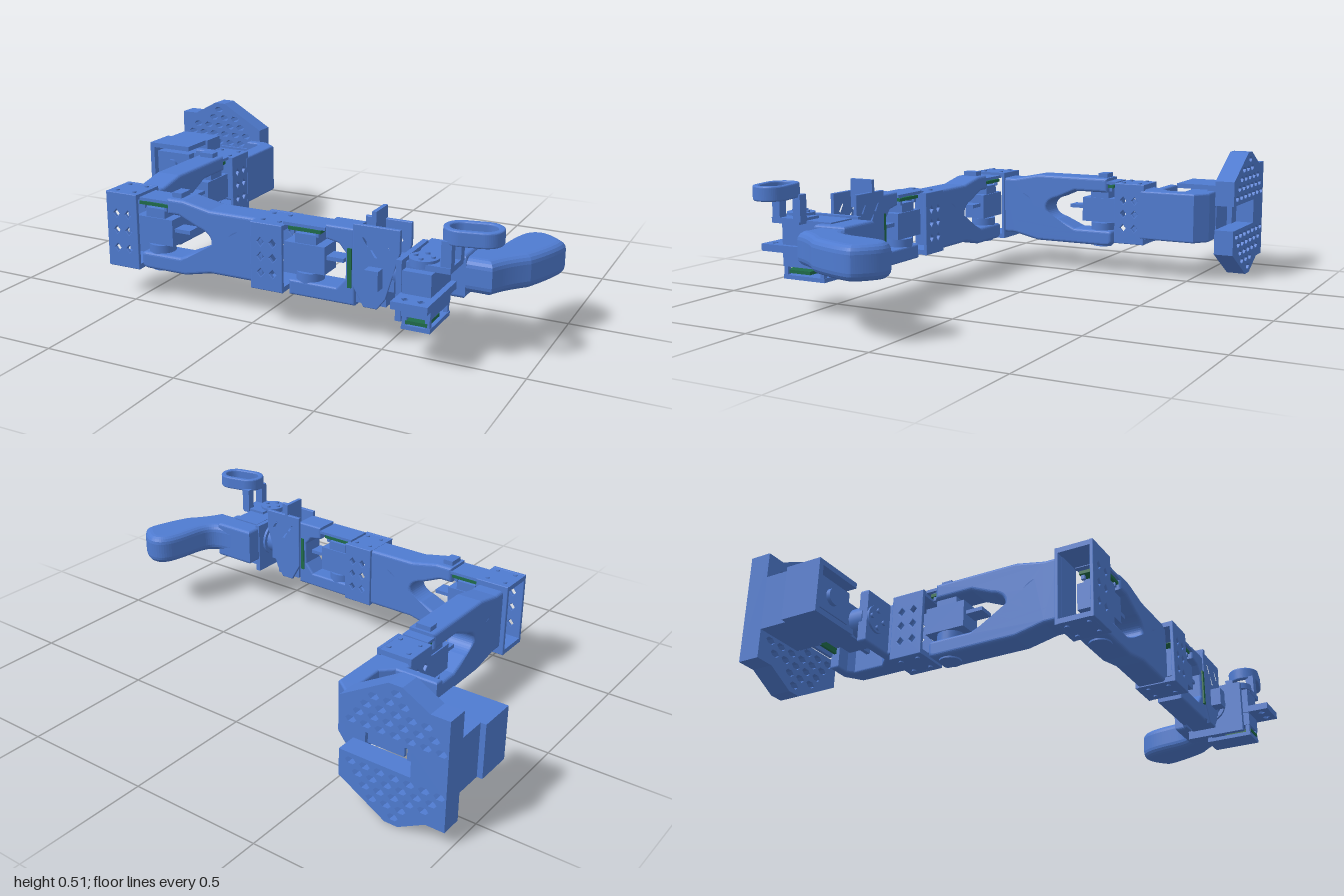
import * as THREE from 'three';

const blue = new THREE.MeshStandardMaterial({ color: 0x4f7bd0 });
const green = new THREE.MeshStandardMaterial({ color: 0x1f6b4a });

function add(parent, name, geo, mat = blue) {
  const m = new THREE.Mesh(geo, mat);
  m.name = name;
  parent.add(m);
  return m;
}

// Box given by its limits on each axis
function box(parent, name, x0, x1, y0, y1, z0, z1, mat) {
  const m = add(parent, name, new THREE.BoxGeometry(x1 - x0, y1 - y0, z1 - z0), mat);
  m.position.set((x0 + x1) / 2, (y0 + y1) / 2, (z0 + z1) / 2);
  return m;
}

// Cylinder centred at x, y, z along the given axis
function cyl(parent, name, r, len, x, y, z, axis = 'y', mat) {
  const g = new THREE.CylinderGeometry(r, r, len, 24);
  if (axis === 'x') g.rotateZ(Math.PI / 2);
  if (axis === 'z') g.rotateX(Math.PI / 2);
  add(parent, name, g, mat).position.set(x, y, z);
}

const outline = pts => new THREE.Shape(pts.map(p => new THREE.Vector2(...p)));

function polyHole(x, y, rx, ry, n = 4) {
  const pts = [];
  for (let i = 0; i < n; i++) {
    const a = (i / n) * Math.PI * 2;
    pts.push(new THREE.Vector2(x + rx * Math.cos(a), y + ry * Math.sin(a)));
  }
  return new THREE.Path(pts);
}

// Extrusion from z0 to z1 that keeps its outline when edges are rounded
function slab(shape, z0, z1, b = 0) {
  const g = new THREE.ExtrudeGeometry(shape, {
    depth: z1 - z0 - 2 * b, bevelEnabled: b > 0, bevelThickness: b,
    bevelSize: b, bevelOffset: -b, bevelSegments: 4, curveSegments: 16,
  });
  return g.translate(0, 0, z0 + b);
}

// Slab lying flat: shape y becomes z, from height y0 to y1
const flatSlab = (shape, y0, y1, b) => slab(shape, -y1, -y0, b).rotateX(Math.PI / 2);

// Servo with horn, circuit board and cover; starts at x = 0, axis vertical
function servo(parent) {
  const g = new THREE.Group();
  g.name = 'servo';
  parent.add(g);
  box(g, 'servoBody', -0.02, 0.135, 0.215, 0.315, -0.045, 0.045);
  box(g, 'servoFlange', -0.02, 0.2, 0.266, 0.28, -0.03, 0.03);
  box(g, 'servoBack', 0.02, 0.1, 0.315, 0.35, -0.04, 0.04);
  box(g, 'circuitBoard', -0.005, 0.12, 0.36, 0.372, -0.045, 0.045, green);
  for (const z of [-0.035, 0.035]) for (const x of [0.01, 0.105])
    box(g, 'boardPost', x - 0.006, x + 0.006, 0.345, 0.38, z - 0.006, z + 0.006);
  box(g, 'servoCover', -0.02, 0.14, 0.377, 0.388, -0.052, 0.052);
  cyl(g, 'servoHorn', 0.05, 0.04, 0.06, 0.19, 0);
  cyl(g, 'servoShaft', 0.035, 0.05, 0.06, 0.155, 0);
}

// Open box that holds a servo, side plates pierced by six holes
function holder(parent, x0, x1, y0, y1, t) {
  const g = new THREE.Group();
  g.name = 'servoHolder';
  parent.add(g);
  const s = outline([[x0, y0], [x1, y0], [x1, y1], [x0, y1]]);
  for (const fx of [0.32, 0.7]) for (const fy of [0.26, 0.5, 0.72])
    s.holes.push(polyHole(x0 + (x1 - x0) * fx, y0 + (y1 - y0) * fy, 0.013, 0.015));
  add(g, 'holderSide', slab(s, t - 0.014, t, 0.003));
  add(g, 'holderSide', slab(s, -t, -t + 0.014, 0.003));
  box(g, 'holderTop', x0, x1, y1 - 0.02, y1 - 0.001, -t + 0.004, t - 0.004);
  box(g, 'holderBottom', x0, x1, y0 + 0.001, y0 + 0.02, -t + 0.004, t - 0.004);
  for (const x of [x0 + 0.03, x1 - 0.03]) for (const z of [-0.04, 0.04]) {
    cyl(g, 'screw', 0.008, 0.008, x, y1, z);
    cyl(g, 'screw', 0.008, 0.008, x, y0, z);
  }
}

// Forked link running along +x, with a mouth round the servo and a rounded window
function link(parent, topStart, flat) {
  const s = new THREE.Shape();
  s.moveTo(topStart, 0.4);
  s.lineTo(flat, 0.4);
  s.lineTo(flat + 0.11, 0.378);
  s.lineTo(0.52, 0.378);
  s.lineTo(0.52, 0.14);
  s.lineTo(flat + 0.11, 0.14);
  s.lineTo(flat, 0.116);
  s.lineTo(0.03, 0.116);
  s.quadraticCurveTo(0, 0.116, 0, 0.14);
  s.lineTo(0, 0.165);
  s.quadraticCurveTo(0, 0.18, 0.02, 0.18);
  s.lineTo(0.17, 0.18);
  s.lineTo(0.25, 0.215);
  s.bezierCurveTo(0.32, 0.23, 0.32, 0.29, 0.25, 0.305);
  s.lineTo(0.17, 0.34);
  s.lineTo(topStart, 0.34);
  const w = new THREE.Path();
  w.moveTo(0.5, 0.305);
  w.lineTo(0.42, 0.305);
  w.bezierCurveTo(0.365, 0.295, 0.365, 0.22, 0.42, 0.21);
  w.lineTo(0.5, 0.21);
  s.holes.push(w);
  add(parent, 'forkedLink', slab(s, -0.055, 0.055, 0.012));
  cyl(parent, 'pivotCap', 0.04, 0.012, 0.06, 0.116, 0);
  box(parent, 'cableClip', topStart + 0.01, topStart + 0.05, 0.395, 0.418, -0.03, 0.03);
}

function createModel() {
  const model = new THREE.Group();

  // Base plate: two perforated wings joined on one side
  const wing = [[-0.58, 0.305], [-0.58, 0.405], [-0.76, 0.51], [-0.81, 0.51],
    [-0.91, 0.455], [-0.98, 0.455]];
  const plate = outline([[-0.85, 0.305], ...wing,
    ...wing.map(([x, y]) => [x, 0.51 - y]).reverse(), [-0.85, 0.205]]);
  for (let r = 0; r < 5; r++) for (let c = 0; c < 8; c++) for (const side of [1, -1]) {
    const x = -0.955 + c * 0.055 + (r % 2) * 0.0275, d = 0.078 + r * 0.037;
    if (x < -0.61 && d < 0.237 - 0.55 * Math.abs(x + 0.785))
      plate.holes.push(polyHole(x, 0.255 + side * d, 0.021, 0.013, 6));
  }
  add(model, 'basePlate', slab(plate, -0.664, -0.585));

  // Base housing: walls round the first servo
  box(model, 'baseBack', -0.98, -0.79, 0.16, 0.36, -0.59, -0.48);
  box(model, 'baseFloor', -0.98, -0.8, 0.16, 0.18, -0.48, -0.34);
  box(model, 'baseRoof', -0.98, -0.8, 0.34, 0.36, -0.48, -0.34);
  box(model, 'baseWall', -1.0, -0.98, 0.16, 0.36, -0.48, -0.34);
  box(model, 'baseInner', -0.975, -0.81, 0.2, 0.32, -0.48, -0.36);
  cyl(model, 'cablePort', 0.03, 0.02, -0.9, 0.26, -0.355, 'z');
  const baseServo = new THREE.Group();
  baseServo.name = 'baseServo';
  model.add(baseServo);
  box(baseServo, 'servoBody', -0.82, -0.63, 0.2, 0.32, -0.485, -0.4);
  box(baseServo, 'servoFlange', -0.8, -0.56, 0.22, 0.3, -0.465, -0.45);
  box(baseServo, 'servoBack', -0.74, -0.65, 0.22, 0.3, -0.53, -0.48);
  box(baseServo, 'circuitBoard', -0.76, -0.63, 0.21, 0.31, -0.555, -0.545, green);
  box(baseServo, 'servoCover', -0.77, -0.63, 0.2, 0.32, -0.575, -0.563);
  cyl(baseServo, 'servoHorn', 0.055, 0.06, -0.7, 0.26, -0.375, 'z');

  // Shoulder yoke, open towards the base
  const yoke = outline([[-0.62, -0.575], [-0.54, -0.575], [-0.48, -0.53], [-0.48, -0.3],
    [-0.62, -0.3], [-0.62, -0.325], [-0.75, -0.325], [-0.75, -0.36], [-0.59, -0.36],
    [-0.55, -0.4], [-0.55, -0.52], [-0.57, -0.54], [-0.62, -0.54]]);
  add(model, 'shoulderYoke', flatSlab(yoke, 0.16, 0.36, 0.008));
  cyl(model, 'yokeHub', 0.05, 0.012, -0.7, 0.26, -0.323, 'z');
  for (let i = 0; i < 4; i++)
    cyl(model, 'yokeScrew', 0.009, 0.012, -0.7 + 0.033 * Math.cos(i * Math.PI / 2),
      0.26 + 0.033 * Math.sin(i * Math.PI / 2), -0.315, 'z');

  // Upper arm runs along +z, forearm along +x
  const upper = new THREE.Group();
  upper.name = 'upperArm';
  upper.position.set(-0.552, 0, -0.165);
  upper.rotation.y = -Math.PI / 2;
  const fore = new THREE.Group();
  fore.name = 'forearm';
  fore.position.set(-0.49, 0, 0.41);
  const wrist = new THREE.Group();
  wrist.name = 'wrist';
  wrist.position.set(0.135, 0, 0.425);
  model.add(upper, fore, wrist);
  holder(upper, -0.15, -0.02, 0.135, 0.385, 0.07);
  servo(upper);
  link(upper, 0.02, 0.345);
  holder(fore, -0.135, 0, 0.112, 0.4, 0.072);
  servo(fore);
  link(fore, 0.12, 0.19);
  holder(wrist, -0.135, -0.01, 0.135, 0.38, 0.08);
  servo(wrist);

  // Wrist yoke
  const wy = outline([[0, 0.125], [0.25, 0.125], [0.25, 0.4], [0.14, 0.4], [0.14, 0.35],
    [0.19, 0.34], [0.215, 0.31], [0.215, 0.22], [0.18, 0.18], [0, 0.18]]);
  add(wrist, 'wristYoke', slab(wy, -0.05, 0.05, 0.008));
  box(wrist, 'circuitBoard', 0.225, 0.24, 0.19, 0.33, -0.054, 0.056, green);

  // Shield plates either side of the roll servo, with slanted slots
  const shield = outline([[0.38, 0.42], [0.55, 0.42], [0.55, 0.34], [0.5, 0.17],
    [0.47, 0.13], [0.42, 0.13], [0.38, 0.2]]);
  for (const [x, y] of [[0.41, 0.36], [0.49, 0.36], [0.44, 0.32]])
    shield.holes.push(new THREE.Path([[0, 0.02], [0.012, 0.02], [0.035, -0.01], [0.022, -0.018]]
      .map(([a, b]) => new THREE.Vector2(x + a, y + b))));
  add(model, 'shieldPlate', slab(shield, 0.365, 0.38, 0.003));
  add(model, 'shieldPlate', slab(shield, 0.465, 0.48, 0.003));
  box(model, 'shieldRib', 0.44, 0.455, 0.36, 0.465, 0.365, 0.46);
  box(model, 'rollServo', 0.385, 0.53, 0.2, 0.31, 0.37, 0.475);
  box(model, 'rollServoTab', 0.44, 0.49, 0.21, 0.28, 0.47, 0.52);
  box(model, 'rollServoBase', 0.39, 0.5, 0.14, 0.2, 0.375, 0.47);
  cyl(model, 'rollHorn', 0.055, 0.05, 0.545, 0.265, 0.425, 'x');
  cyl(model, 'rollDisc', 0.07, 0.015, 0.567, 0.265, 0.425, 'x');

  // Grip frame, trigger servo and its mounting plate
  box(model, 'gripWall', 0.57, 0.59, 0.14, 0.35, 0.33, 0.56);
  add(model, 'gripBlock', flatSlab(outline([[0.575, 0.27], [0.75, 0.27], [0.75, 0.4],
    [0.575, 0.4]]), 0.19, 0.34, 0.012));
  box(model, 'triggerServo', 0.6, 0.7, 0.17, 0.325, 0.4, 0.58);
  box(model, 'gripTop', 0.6, 0.72, 0.325, 0.345, 0.35, 0.55);
  const mount = outline([[0.595, 0.4], [0.72, 0.4], [0.72, 0.66], [0.595, 0.66]]);
  for (const x of [0.63, 0.685]) mount.holes.push(polyHole(x, 0.625, 0.014, 0.014));
  add(model, 'mountPlate', flatSlab(mount, 0.222, 0.248));
  box(model, 'circuitBoard', 0.615, 0.69, 0.145, 0.157, 0.47, 0.58, green);
  box(model, 'servoFoot', 0.6, 0.7, 0.125, 0.14, 0.4, 0.58);
  for (const z of [0.41, 0.57]) for (const x of [0.61, 0.69])
    box(model, 'footPost', x - 0.008, x + 0.008, 0.13, 0.18, z - 0.008, z + 0.008);
  cyl(model, 'triggerHorn', 0.05, 0.025, 0.655, 0.352, 0.53);
  for (let i = 0; i < 4; i++)
    cyl(model, 'hornScrew', 0.008, 0.008, 0.655 + 0.03 * Math.cos(i * Math.PI / 2), 0.367,
      0.53 + 0.03 * Math.sin(i * Math.PI / 2));

  // Trigger: arm, two posts and a finger loop
  box(model, 'triggerArm', 0.65, 0.76, 0.335, 0.355, 0.455, 0.575);
  for (const z of [0.465, 0.555])
    box(model, 'triggerPost', 0.725, 0.76, 0.345, 0.44, z - 0.016, z + 0.016);
  const stadium = (path, r, a, b) => {
    path.absarc(b, 0, r, -Math.PI / 2, Math.PI / 2);
    path.absarc(a, 0, r, Math.PI / 2, Math.PI * 1.5);
    path.closePath();
    return path;
  };
  const loop = stadium(new THREE.Shape(), 0.062, 0, 0.07);
  loop.holes.push(stadium(new THREE.Path(), 0.04, 0, 0.07));
  const ring = add(model, 'fingerLoop', flatSlab(loop, 0.43, 0.482, 0.006));
  ring.position.set(0.775, 0, 0.515);
  ring.rotation.y = 0.2;

  // Curved hand grip
  const grip = new THREE.Shape();
  grip.moveTo(0.68, 0.27);
  grip.bezierCurveTo(0.79, 0.27, 0.79, 0.23, 0.8, 0.16);
  grip.bezierCurveTo(0.81, 0.08, 0.82, 0.0, 0.89, 0);
  grip.bezierCurveTo(0.92, 0, 0.97, 0.04, 0.99, 0.07);
  grip.bezierCurveTo(1.0, 0.1, 0.96, 0.21, 0.93, 0.27);
  grip.bezierCurveTo(0.89, 0.31, 0.86, 0.35, 0.84, 0.4);
  grip.lineTo(0.68, 0.4);
  add(model, 'handGrip', flatSlab(grip, 0.21, 0.33, 0.03));

  return model;
}

export { createModel };
